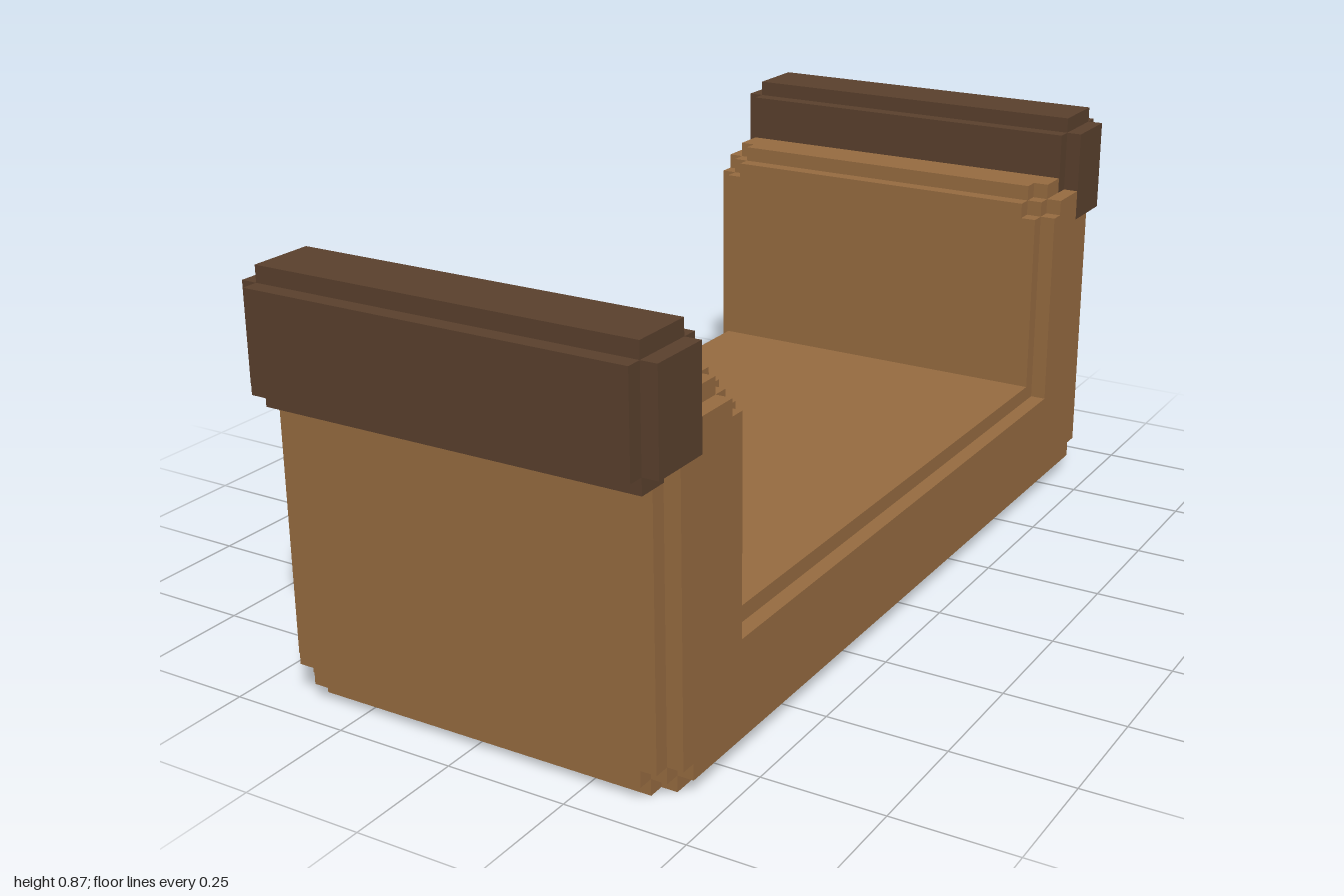
import * as THREE from 'three';

const U = 1 / 30; // one block step

// Extrudes a U-shaped profile, given as its +z half, across the full width
function slab(halfProfile, halfWidth, material) {
  const mirrored = halfProfile.map(([z, y]) => [-z, y]).reverse();
  const points = [...halfProfile, ...mirrored].map(([z, y]) => new THREE.Vector2(z * U, y * U));
  const geometry = new THREE.ExtrudeGeometry(new THREE.Shape(points), {
    depth: 2 * halfWidth * U, bevelEnabled: false,
  });
  geometry.translate(0, 0, -halfWidth * U);
  geometry.rotateY(-Math.PI / 2);
  return new THREE.Mesh(geometry, material);
}

export function createModel() {
  const wood = new THREE.MeshStandardMaterial({ color: 0x966b40 });
  wood.name = 'wood';
  const darkWood = new THREE.MeshStandardMaterial({ color: 0x5a402d });
  darkWood.name = 'darkWood';

  const model = new THREE.Group();
  model.name = 'trough';

  // Trough body: three nested slabs form the stepped edges and corners
  const body = new THREE.Group();
  body.name = 'body';
  const core = slab([
    [27, 0], [27, 1], [28, 1], [28, 22], [21, 22], [21, 21], [20, 21], [20, 8],
  ], 11, wood);
  core.name = 'bodyCore';
  const middle = slab([
    [26, 0], [26, 1], [27, 1], [27, 2], [28, 2], [28, 22],
    [22, 22], [22, 21], [21, 21], [21, 20], [20, 20], [20, 8],
  ], 12, wood);
  middle.name = 'bodyMiddle';
  const sides = slab([
    [26, 1], [26, 2], [27, 2], [27, 21], [22, 21], [22, 20], [21, 20], [21, 7],
  ], 13, wood);
  sides.name = 'bodySides';
  body.add(core, middle, sides);
  model.add(body);

  // Rim beams: crossed boxes leave a one-step notch along every edge
  const lift = 0.001; // keeps the beam just proud of the body sides
  for (const [name, side] of [['frontBeam', 1], ['backBeam', -1]]) {
    const beam = new THREE.Group();
    beam.name = name;
    for (const [w, h, d] of [[26, 6, 4], [24, 8, 4], [24, 6, 6]]) {
      const box = new THREE.BoxGeometry(w * U + 2 * lift, h * U, d * U);
      const part = new THREE.Mesh(box, darkWood);
      part.name = 'beamBlock';
      beam.add(part);
    }
    beam.position.set(0, 22 * U, side * 27 * U);
    model.add(beam);
  }
  return model;
}
